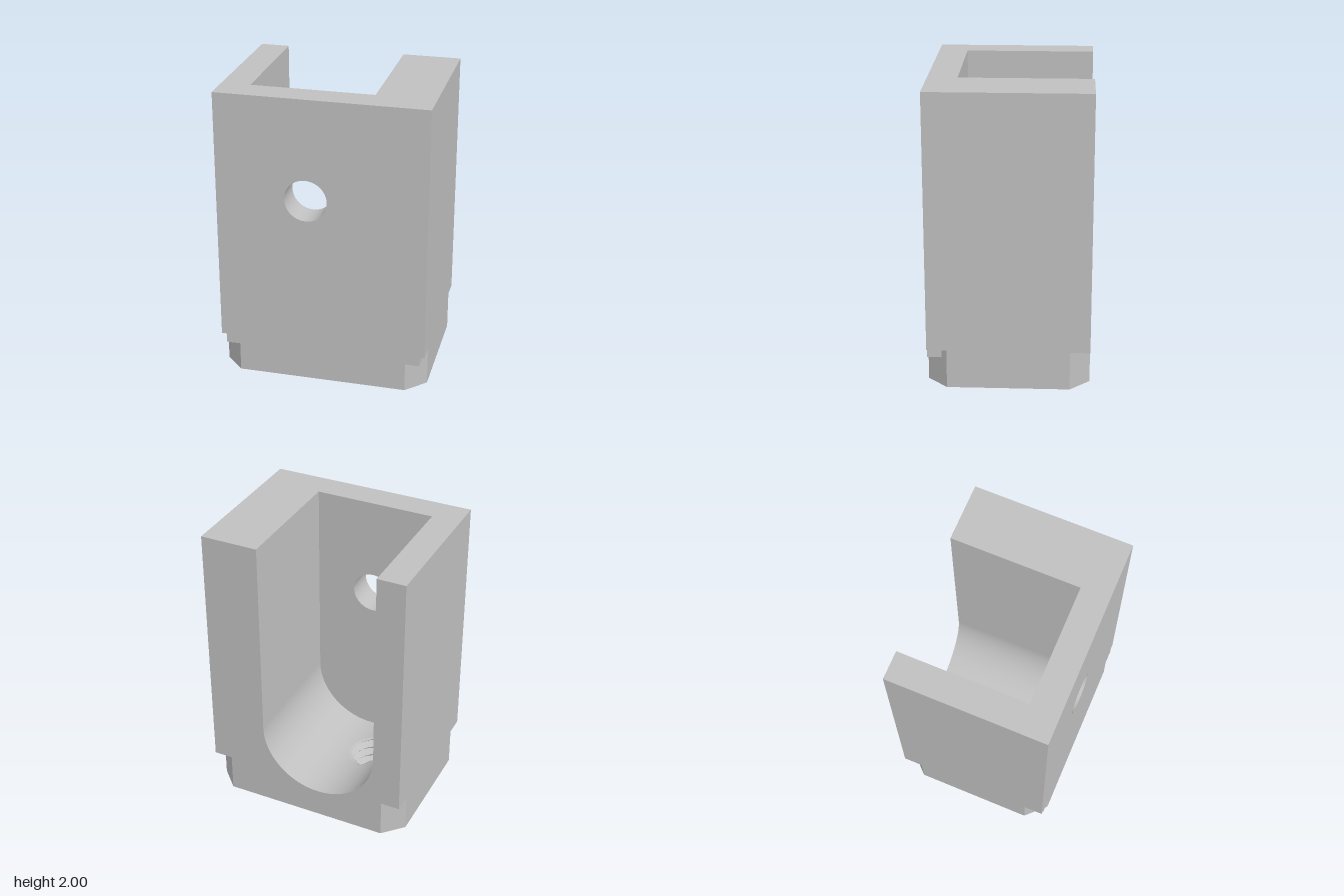
import * as THREE from 'three';
import { toCreasedNormals } from 'three/addons/utils/BufferGeometryUtils.js';

const W = 0.704, D = 0.537, H = 2;            // half width, half depth, height
const CX = 0.575, CZ = 0.405;                 // where the corner chamfers start
const FOOT = 0.2, LEDGE = 0.265;              // heights of foot and corner notches
const SX = -0.1, SY = 0.61, SR = 0.41;        // slot axis and radius
const SLOT_Z = 0.34;                          // closed end of the slot
const HX = -0.28, R_OUT = 0.183, R_IN = 0.146; // threaded hole

const grey = new THREE.MeshStandardMaterial({ color: 0xc0c0c0, side: THREE.DoubleSide });
grey.name = 'grey metal';

const outline = pts => new THREE.Shape(pts.map(p => new THREE.Vector2(p[0], p[1])));
const circle = (x, y, r) => new THREE.Path().absarc(x, y, r, 0, Math.PI * 2, true);
const extrude = (shape, depth) =>
  toCreasedNormals(new THREE.ExtrudeGeometry(shape, { depth, bevelEnabled: false, curveSegments: 32 }), 0.5);
// height of the round slot floor at x
const floorY = x => SY - Math.sqrt(Math.max(0, SR * SR - (x - SX) ** 2));

// plan outline (x, z) pulled up from y0 to y1
function planExtrude(shape, y0, y1) {
  return extrude(shape, y1 - y0).rotateX(Math.PI / 2).translate(0, y1, 0);
}

// Curved slot floor in strips either side of the round opening
function floorGeometry() {
  const xs = [];
  for (let i = 0; i <= 64; i++) {
    const x = SX - SR * Math.cos(Math.PI * i / 64);
    if (Math.abs(x - HX) > R_OUT + 0.001) xs.push(x);
  }
  for (let i = 0; i <= 32; i++) xs.push(HX - R_OUT * Math.cos(Math.PI * i / 32));
  xs.sort((a, b) => a - b);
  const gap = x => Math.sqrt(Math.max(0, R_OUT ** 2 - (x - HX) ** 2));
  const pos = [], nor = [];
  const add = (x, z) => {
    const y = floorY(x);
    pos.push(x, y, z);
    nor.push((SX - x) / SR, (SY - y) / SR, 0);
  };
  for (let i = 0; i < xs.length - 1; i++) {
    const a = xs[i], b = xs[i + 1];
    for (const [a0, a1, b0, b1] of [[-D, -gap(a), -D, -gap(b)], [gap(a), SLOT_Z, gap(b), SLOT_Z]]) {
      add(a, a0); add(a, a1); add(b, b1);
      add(a, a0); add(b, b1); add(b, b0);
    }
  }
  const g = new THREE.BufferGeometry();
  g.setAttribute('position', new THREE.Float32BufferAttribute(pos, 3));
  g.setAttribute('normal', new THREE.Float32BufferAttribute(nor, 3));
  return g;
}

// Helical thread, trimmed by the slot floor at its upper end
function threadGeometry() {
  const rows = 56, cols = 48, pitch = 0.07, pos = [], index = [];
  for (let i = 0; i <= rows; i++) {
    for (let j = 0; j <= cols; j++) {
      const t = j / cols, a = t * Math.PI * 2;
      const top = floorY(HX + R_OUT * Math.cos(a));
      let y = i < 2 ? 0 : top * (i - 1) / (rows - 1);
      const phase = (((y / pitch - t) % 1) + 1) % 1;
      let r = R_IN + (R_OUT - R_IN) * (1 - Math.abs(phase * 2 - 1));
      if (i === 0 || i === rows) r = R_OUT;
      if (i === 1) r = R_IN;
      const x = HX + r * Math.cos(a);
      y = Math.min(y, floorY(x));
      pos.push(x, y, r * Math.sin(a));
      if (i < rows && j < cols) {
        const p = i * (cols + 1) + j, q = p + cols + 1;
        index.push(p, p + 1, q + 1, p, q + 1, q);
      }
    }
  }
  const g = new THREE.BufferGeometry();
  g.setAttribute('position', new THREE.Float32BufferAttribute(pos, 3));
  g.setIndex(index);
  return toCreasedNormals(g, 0.6);
}

export function createModel() {
  const group = new THREE.Group();
  group.name = 'slotted block';
  const add = (name, geometry) => {
    const m = new THREE.Mesh(geometry, grey);
    m.name = name;
    group.add(m);
  };

  // foot with four chamfered corners
  const foot = outline([[-CX, -D], [CX, -D], [W, -CZ], [W, CZ], [CX, D], [-CX, D], [-W, CZ], [-W, -CZ]]);
  foot.holes.push(circle(HX, 0, R_OUT));
  add('foot', planExtrude(foot, 0, FOOT));

  // side bands above the foot, stepped at the front corners
  for (const s of [-1, 1]) {
    const band = outline([[CX, -D], [W, -CZ], [W, CZ], [0.67, 0.44], [0.67, D], [CX, D]]
      .map(([x, z]) => [x * s, z]));
    add(s > 0 ? 'leftBand' : 'rightBand', planExtrude(band, FOOT, LEDGE));
  }

  // front wall with its round cross hole
  const front = outline([[-CX, FOOT], [CX, FOOT], [CX, LEDGE], [W, LEDGE], [W, H], [-W, H], [-W, LEDGE], [-CX, LEDGE]]);
  front.holes.push(circle(SX, 1.313, 0.142));
  add('frontWall', extrude(front, D - SLOT_Z).translate(0, 0, SLOT_Z));

  // side walls of the slot
  for (const [name, x0, x1] of [['rightWall', -W, SX - SR], ['leftWall', SX + SR, W]]) {
    const g = new THREE.BoxGeometry(x1 - x0, H - LEDGE, D + SLOT_Z);
    add(name, g.translate((x0 + x1) / 2, (H + LEDGE) / 2, (SLOT_Z - D) / 2));
  }

  // back face below the slot, drawn in x and y then turned to face -z
  const back = new THREE.Shape();
  back.moveTo(-CX, FOOT - 0.002);
  back.lineTo(CX, FOOT - 0.002);
  back.lineTo(CX, LEDGE);
  back.lineTo(-SX + SR, LEDGE);
  back.lineTo(-SX + SR, SY);
  back.absarc(-SX, SY, SR, 0, -Math.PI, true);
  back.lineTo(-SX - SR, LEDGE);
  back.lineTo(-CX, LEDGE);
  add('backFace', new THREE.ShapeGeometry(back, 64).rotateY(Math.PI).translate(0, 0, -D));

  add('slotFloor', floorGeometry());
  add('threadedHole', threadGeometry());
  return group;
}
